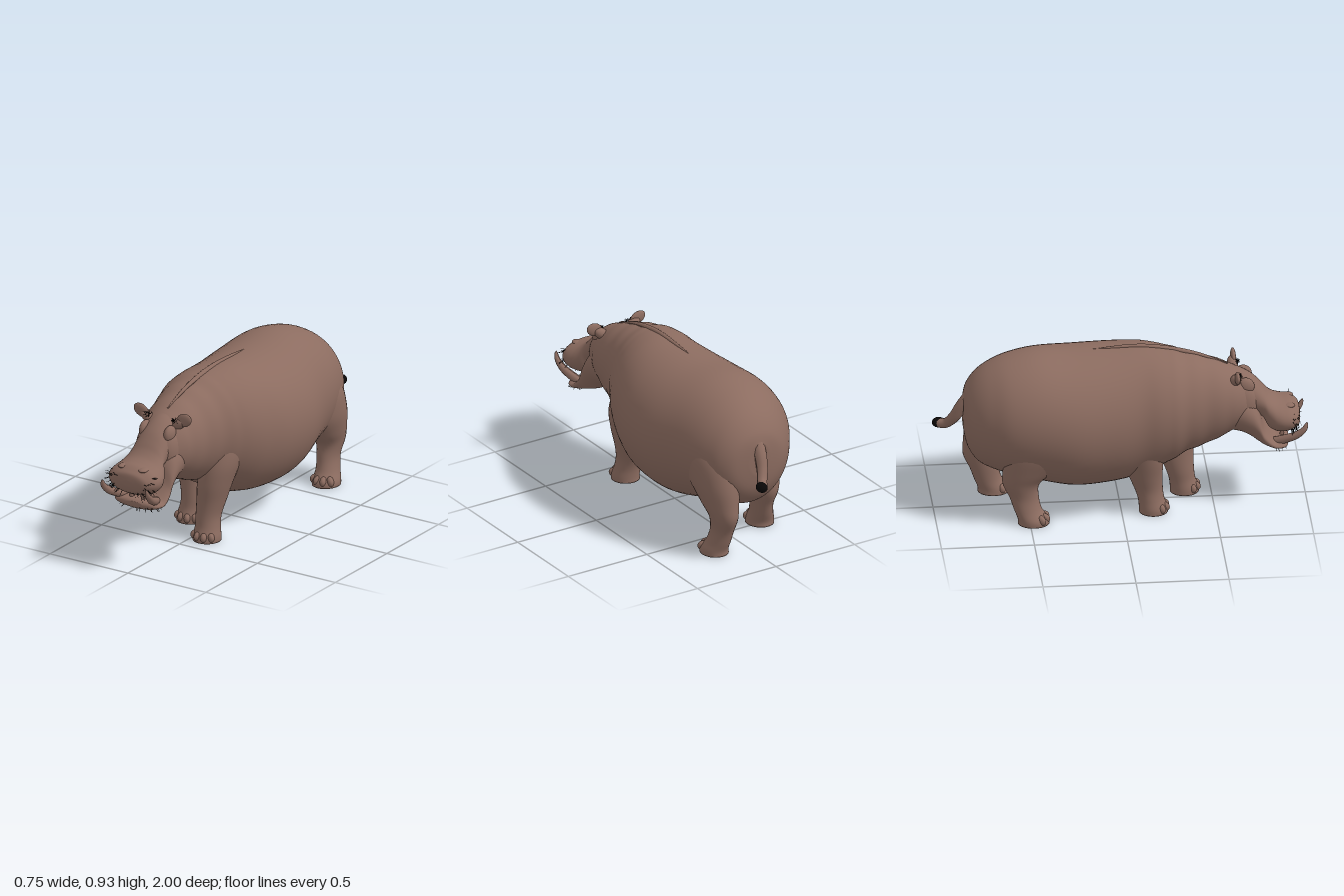
import * as THREE from 'three';
import { mergeGeometries } from 'three/addons/utils/BufferGeometryUtils.js';

const V = (x, y, z) => new THREE.Vector3(x, y, z);
const HEAD_X = -0.027;

// Smooth skin through elliptical rings [t, c1, c2, r1, r2]; rings stack along y (upright) or z.
function loft(rows, upright = false, ripple = () => 0, seg = 40, sub = 5) {
  const rings = [];
  const pick = i => rows[Math.max(0, Math.min(rows.length - 1, i))];
  for (let i = 0; i < rows.length - 1; i++) {
    for (let s = 0; s < sub; s++) {
      const f = s / sub;
      const [a, b, c, d] = [pick(i - 1), pick(i), pick(i + 1), pick(i + 2)];
      rings.push(b.map((_, k) => 0.5 * (2 * b[k] + (c[k] - a[k]) * f +
        (2 * a[k] - 5 * b[k] + 4 * c[k] - d[k]) * f * f +
        (3 * b[k] - a[k] - 3 * c[k] + d[k]) * f * f * f)));
    }
  }
  rings.push(rows[rows.length - 1]);
  const pos = [], idx = [];
  const put = (t, u, v) => (upright ? pos.push(u, t, -v) : pos.push(u, v, t));
  for (const [t, c1, c2, r1, r2] of rings) {
    const k = 1 + ripple(t);
    for (let j = 0; j < seg; j++) {
      const a = (j / seg) * Math.PI * 2;
      put(t, c1 + r1 * k * Math.cos(a), (upright ? -c2 : c2) + r2 * k * Math.sin(a));
    }
  }
  const n = rings.length;
  for (let i = 0; i < n - 1; i++) {
    for (let j = 0; j < seg; j++) {
      const a = i * seg + j, b = i * seg + (j + 1) % seg;
      idx.push(a, b, a + seg, b, b + seg, a + seg);
    }
  }
  // end caps
  for (const [i, flip] of [[0, true], [n - 1, false]]) {
    const [t, c1, c2] = rings[i], centre = pos.length / 3;
    put(t, c1, upright ? -c2 : c2);
    for (let j = 0; j < seg; j++) {
      const a = i * seg + j, b = i * seg + (j + 1) % seg;
      flip ? idx.push(centre, b, a) : idx.push(centre, a, b);
    }
  }
  const g = new THREE.BufferGeometry();
  g.setAttribute('position', new THREE.Float32BufferAttribute(pos, 3));
  g.setIndex(idx);
  g.computeVertexNormals();
  return g;
}

// Rows given as [z, centre x, half width, top y, bottom y]
const profile = rows => rows.map(([z, cx, w, top, bot]) => [z, cx, (top + bot) / 2, w, (top - bot) / 2]);

// Tube whose radius follows radius(u)
function taperedTube(points, radius, seg = 20, radial = 10) {
  const curve = new THREE.CatmullRomCurve3(points);
  const g = new THREE.TubeGeometry(curve, seg, 1, radial);
  const p = g.attributes.position, v = V(0, 0, 0);
  for (let i = 0; i < p.count; i++) {
    const u = Math.floor(i / (radial + 1)) / seg, c = curve.getPointAt(u);
    v.fromBufferAttribute(p, i).sub(c).multiplyScalar(radius(u)).add(c);
    p.setXYZ(i, v.x, v.y, v.z);
  }
  g.computeVertexNormals();
  return g;
}

export function createModel() {
  const model = new THREE.Group();
  const hide = new THREE.MeshStandardMaterial({ color: 0x8c6c60 });
  hide.name = 'hide brown';
  const hair = new THREE.MeshStandardMaterial({ color: 0x0a0808 });
  hair.name = 'hair black';
  const add = (name, geo, mat = hide, parent = model) => {
    const m = new THREE.Mesh(geo, mat);
    m.name = name;
    parent.add(m);
    return m;
  };
  const ball = (name, p, r, mat = hide, parent = model) => {
    const m = add(name, new THREE.SphereGeometry(1, 20, 14), mat, parent);
    m.position.copy(p);
    m.scale.copy(r);
    return m;
  };
  let seed = 7;
  const rnd = (a, b) => {
    seed = (seed * 16807) % 2147483647;
    return a + (b - a) * (seed / 2147483647);
  };

  // barrel body and neck, with faint skin folds around the neck
  const folds = z => (z > 0.26 && z < 0.61 ? 0.008 * Math.sin((z - 0.26) * 54) : 0);
  add('body', loft(profile([
    [-0.84, 0, 0.06, 0.66, 0.48], [-0.82, 0, 0.155, 0.72, 0.38], [-0.77, -0.005, 0.22, 0.79, 0.3],
    [-0.7, -0.015, 0.265, 0.845, 0.26], [-0.6, -0.025, 0.31, 0.89, 0.23], [-0.45, -0.023, 0.343, 0.918, 0.19],
    [-0.25, -0.005, 0.372, 0.912, 0.145], [-0.05, 0.007, 0.355, 0.915, 0.15], [0.1, 0.003, 0.318, 0.92, 0.18],
    [0.2, -0.015, 0.296, 0.912, 0.23], [0.28, -0.03, 0.265, 0.898, 0.275], [0.36, -0.035, 0.23, 0.878, 0.32],
    [0.45, -0.035, 0.2, 0.852, 0.35], [0.55, -0.033, 0.178, 0.815, 0.395], [0.62, -0.03, 0.155, 0.78, 0.43],
    [0.68, -0.03, 0.12, 0.74, 0.44], [0.72, -0.03, 0.08, 0.69, 0.46],
  ]), false, folds, 56));

  // skull and broad overhanging muzzle
  add('upperHead', loft(profile([
    [0.5, HEAD_X, 0.13, 0.81, 0.5], [0.6, HEAD_X, 0.12, 0.788, 0.5], [0.66, HEAD_X, 0.11, 0.765, 0.5],
    [0.72, HEAD_X, 0.103, 0.722, 0.51], [0.765, HEAD_X, 0.106, 0.672, 0.49], [0.795, HEAD_X, 0.126, 0.635, 0.437],
    [0.83, HEAD_X, 0.147, 0.607, 0.415], [0.87, HEAD_X, 0.157, 0.593, 0.412], [0.91, HEAD_X, 0.153, 0.585, 0.42],
    [0.94, HEAD_X, 0.133, 0.568, 0.435], [0.96, HEAD_X, 0.1, 0.55, 0.45], [0.968, HEAD_X, 0.03, 0.515, 0.485],
  ])));
  add('lowerJaw', loft(profile([
    [0.54, HEAD_X, 0.12, 0.66, 0.43], [0.64, HEAD_X, 0.143, 0.67, 0.415], [0.7, HEAD_X, 0.147, 0.64, 0.385],
    [0.74, HEAD_X, 0.147, 0.575, 0.355], [0.77, HEAD_X, 0.148, 0.47, 0.342], [0.82, HEAD_X, 0.152, 0.4, 0.332],
    [0.86, HEAD_X, 0.147, 0.39, 0.33], [0.89, HEAD_X, 0.12, 0.385, 0.334], [0.905, HEAD_X, 0.05, 0.375, 0.348],
  ])));

  // bristles: thin tapered hairs growing from an ellipsoid (centre c, radii r) in direction d
  const bristles = [];
  const bristle = (c, r, d, len, flat) => {
    d.normalize();
    const p = d.clone().multiply(r).add(c);
    const g = new THREE.CylinderGeometry(0.0008, 0.0022, len, 4).translate(0, len / 2, 0);
    const lean = V(d.x, d.y - 0.15, d.z * flat).normalize();
    g.applyQuaternion(new THREE.Quaternion().setFromUnitVectors(V(0, 1, 0), lean));
    bristles.push(g.translate(p.x, p.y, p.z));
  };

  // mirrored face parts
  for (const s of [1, -1]) {
    const side = s > 0 ? 'left' : 'right';
    const at = (x, y, z) => V(HEAD_X + s * x, y, z);
    ball(side + 'EyeBulge', at(0.078, 0.7, 0.67), V(0.028, 0.05, 0.048));
    ball(side + 'Cheek', at(0.07, 0.6, 0.65), V(0.06, 0.12, 0.09));
    ball(side + 'Nostril', at(0.065, 0.57, 0.905), V(0.026, 0.012, 0.033));
    const ear = ball(side + 'Ear', at(0.137, 0.778, 0.622), V(0.05, 0.036, 0.015));
    ear.rotation.z = s * 0.4;
    const root = ball(side + 'EarRoot', at(0.1, 0.75, 0.615), V(0.05, 0.03, 0.03));
    root.rotation.z = s * 0.6;
    for (let i = 0; i < 24; i++) {
      bristle(at(0.088, 0.767, 0.632), V(0.012, 0.008, 0.01), V(rnd(-1, 1), rnd(-0.3, 1), rnd(-0.2, 1)), 0.014, 1);
    }
    add(side + 'Tusk', taperedTube(
      [at(0.09, 0.37, 0.82), at(0.115, 0.395, 0.88), at(0.135, 0.425, 0.94), at(0.143, 0.465, 0.982), at(0.14, 0.503, 0.996)],
      u => 0.024 * Math.sqrt(Math.max(0, 1 - u * u)) + 0.001));
    const tooth = add(side + 'Tooth', new THREE.CylinderGeometry(0.009, 0.012, 0.045, 10));
    tooth.position.copy(at(0.038, 0.398, 0.87));
    tooth.rotation.x = 0.3;
  }

  // whiskers on muzzle and chin, swept outwards from the face
  for (let i = 0; i < 60; i++) {
    const s = i % 2 ? 1 : -1;
    bristle(V(HEAD_X, 0.503, 0.88), V(0.152, 0.082, 0.085),
      V(s * rnd(0.15, 0.85), rnd(-0.65, 0.4), rnd(0.3, 0.9)), rnd(0.03, 0.05), 0.2);
    if (i % 2) bristle(V(HEAD_X, 0.362, 0.82), V(0.142, 0.03, 0.08), V(rnd(-1, 1), rnd(-0.9, 0), rnd(0.1, 0.9)), rnd(0.02, 0.035), 0.4);
  }
  add('bristles', mergeGeometries(bristles), hair);

  // raised crease along the spine
  add('spineRidge', taperedTube(
    [V(-0.005, 0.91, -0.14), V(-0.005, 0.917, 0.08), V(-0.012, 0.906, 0.22), V(-0.02, 0.866, 0.41), V(-0.025, 0.803, 0.58)],
    u => 0.003 + 0.012 * Math.sin(Math.PI * u), 40));

  // tail with dark tuft
  add('tail', taperedTube(
    [V(-0.005, 0.66, -0.8), V(0, 0.6, -0.845), V(0.014, 0.53, -0.885), V(0.04, 0.482, -0.925), V(0.06, 0.472, -0.965)],
    u => 0.038 - 0.013 * u));
  ball('tailTuft', V(0.068, 0.473, -0.964), V(0.03, 0.028, 0.036), hair);
  ball('bellyTuft', V(-0.02, 0.2, 0.085), V(0.015, 0.018, 0.018), hair);

  // legs: rows [y, x, z, half width, half depth] for the left side, toes fanned round the front
  const foreRows = [
    [0, 0.083, 0.358, 0.077, 0.078], [0.03, 0.083, 0.357, 0.076, 0.077], [0.08, 0.08, 0.345, 0.068, 0.071],
    [0.14, 0.077, 0.332, 0.068, 0.077], [0.22, 0.085, 0.315, 0.078, 0.092], [0.33, 0.1, 0.3, 0.094, 0.11],
    [0.45, 0.118, 0.265, 0.105, 0.125], [0.58, 0.12, 0.21, 0.1, 0.12], [0.72, 0.1, 0.17, 0.06, 0.06],
  ];
  const hindRows = [
    [0, 0.175, -0.66, 0.076, 0.085], [0.03, 0.175, -0.663, 0.074, 0.083], [0.08, 0.165, -0.69, 0.062, 0.075],
    [0.15, 0.156, -0.71, 0.058, 0.079], [0.23, 0.158, -0.725, 0.07, 0.1], [0.31, 0.16, -0.685, 0.092, 0.14],
    [0.44, 0.155, -0.62, 0.125, 0.19], [0.6, 0.135, -0.58, 0.135, 0.175], [0.76, 0.08, -0.55, 0.08, 0.09],
  ];
  const leg = (name, rows, s, dx, dz) => {
    const group = new THREE.Group();
    group.name = name;
    const r = rows.map(([y, x, z, w, d]) => [y, s * x + dx, z + dz, w, d]);
    add('limb', loft(r, true, undefined, 28), hide, group);
    for (let i = 0; i < 4; i++) {
      const a = (i - 1.5) * 0.6;
      ball('toe', V(r[0][1] + Math.sin(a) * 0.05, 0.03, r[0][2] + Math.cos(a) * 0.05), V(0.022, 0.03, 0.04), hide, group).rotation.y = a;
    }
    model.add(group);
  };
  leg('frontLeftLeg', foreRows, 1, 0, 0);
  leg('frontRightLeg', foreRows, -1, -0.063, -0.187);
  leg('hindLeftLeg', hindRows, 1, 0, 0);
  leg('hindRightLeg', hindRows, -1, -0.055, 0.18);

  return model;
}
